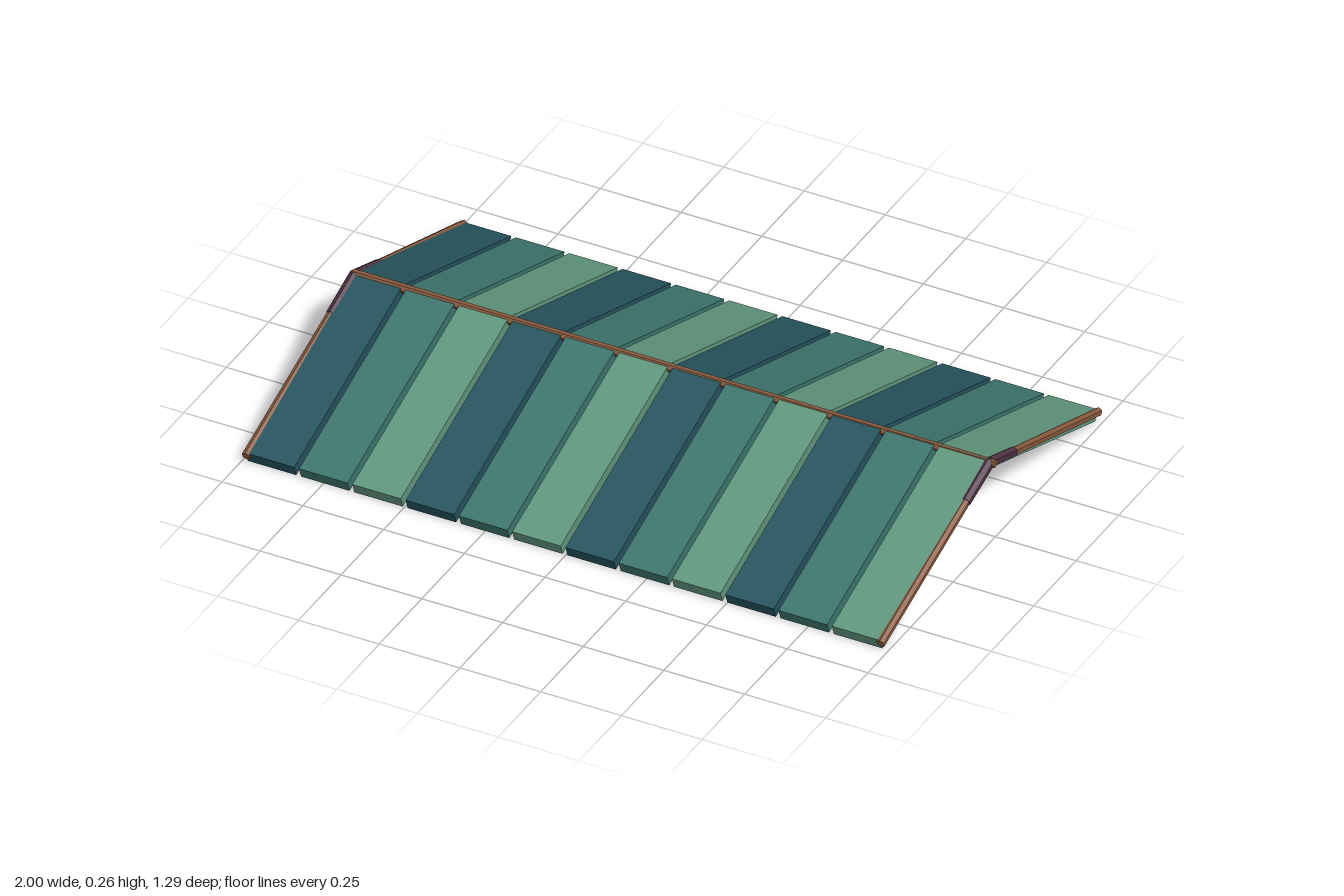
import * as THREE from 'three';

const flat = (name, color) => {
  const m = new THREE.MeshStandardMaterial({ color });
  m.name = name;
  m.flatShading = true;
  return m;
};

export function createModel() {
  const roof = new THREE.Group();
  roof.name = 'gableRoof';
  const panelColors = [flat('deepTeal', 0x26545f), flat('seaGreen', 0x3d766e), flat('paleGreen', 0x61977f)];
  const wood = flat('brownWood', 0x8a5a3e);
  const wrap = flat('plumWrap', 0x4f3344);

  // Slope plank section: mitred at the ridge, cut square at the eave
  const plank = new THREE.Shape([
    [0, 0.219], [0.626, 0], [0.638, 0.033], [0, 0.252],
  ].map(([z, y]) => new THREE.Vector2(z, y)));
  const width = 0.15;
  const plankGeo = new THREE.ExtrudeGeometry(plank, { depth: width, bevelEnabled: false });
  plankGeo.translate(0, 0, -width / 2);

  // Twelve planks on each slope, in a repeating run of three colours
  for (const side of [1, -1]) {
    for (let i = 0; i < 12; i++) {
      const mesh = new THREE.Mesh(plankGeo, panelColors[i % 3]);
      mesh.name = side > 0 ? 'frontPlank' : 'backPlank';
      mesh.rotation.y = -side * Math.PI / 2;
      mesh.position.x = (i - 5.5) * 0.165 - 0.003;
      roof.add(mesh);
    }
  }

  // Six-sided pole between two points
  const pole = (name, a, b, r0, r1, material) => {
    const from = new THREE.Vector3(...a), to = new THREE.Vector3(...b);
    const dir = to.clone().sub(from);
    const mesh = new THREE.Mesh(new THREE.CylinderGeometry(r1, r0, dir.length(), 6), material);
    mesh.name = name;
    mesh.position.copy(from).add(to).multiplyScalar(0.5);
    mesh.quaternion.setFromUnitVectors(new THREE.Vector3(0, 1, 0), dir.normalize());
    roof.add(mesh);
  };

  // Ridge pole
  pole('ridgePole', [-0.99, 0.243, 0], [1, 0.241, 0], 0.014, 0.012, wood);

  // Gable-end poles with dark wraps by the ridge
  for (const x of [-0.984, 0.981]) {
    for (const s of [1, -1]) {
      pole('gablePole', [x, 0.024, s * 0.64], [x, 0.24, 0], 0.013, 0.013, wood);
      pole('gableWrap', [x, 0.193, s * 0.14], [x, 0.241, 0], 0.015, 0.016, wrap);
    }
  }
  return roof;
}
